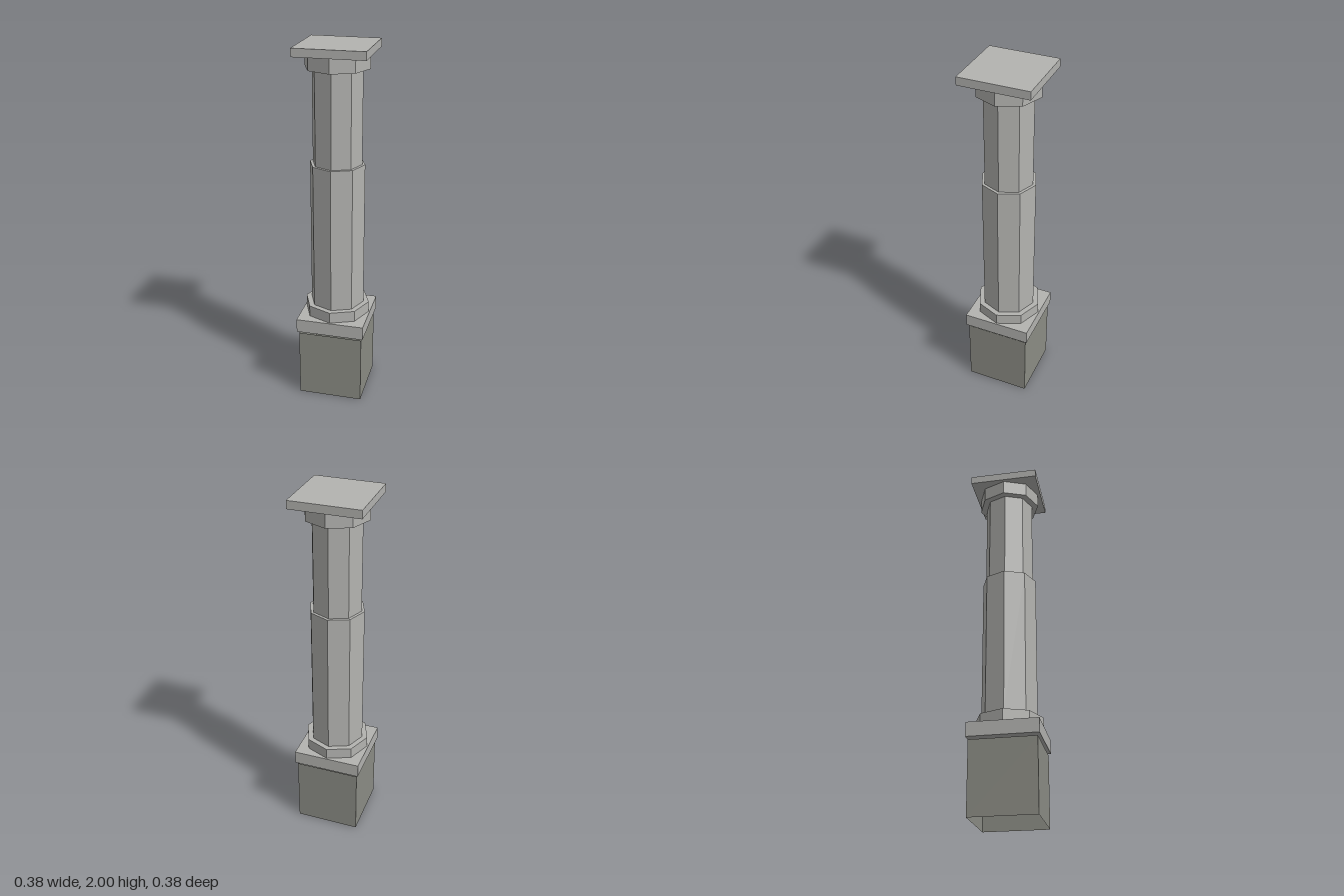
import * as THREE from 'three';

export function createModel() {
  const model = new THREE.Group();

  const paleStone = new THREE.MeshStandardMaterial({ color: 0xb3b3b0, flatShading: true });
  paleStone.name = 'paleStone';
  const darkStone = new THREE.MeshStandardMaterial({ color: 0x8c8d85, flatShading: true, side: THREE.DoubleSide });
  darkStone.name = 'darkStone';

  function add(name, geometry, material, bottom, top) {
    const mesh = new THREE.Mesh(geometry, material);
    mesh.name = name;
    mesh.position.y = (bottom + top) / 2;
    model.add(mesh);
    return mesh;
  }

  // Square slab, width 2 * half
  const slab = (name, half, bottom, top) =>
    add(name, new THREE.BoxGeometry(2 * half, top - bottom, 2 * half), paleStone, bottom, top);

  // Octagonal drum with corners on the x and z axes
  const drum = (name, radius, bottom, top) =>
    add(name, new THREE.CylinderGeometry(radius, radius, top - bottom, 8), paleStone, bottom, top);

  // Pedestal: four walls, open at the ends, with a small gap under the plinth
  const walls = new THREE.CylinderGeometry(0.179 * Math.SQRT2, 0.179 * Math.SQRT2, 0.393, 4, 1, true);
  walls.rotateY(Math.PI / 4);
  add('pedestal', walls, darkStone, 0, 0.393);

  slab('plinth', 0.19, 0.406, 0.483);
  drum('baseRing', 0.183, 0.483, 0.546);
  drum('lowerShaft', 0.152, 0.546, 1.367);
  drum('upperShaft', 0.136, 1.367, 1.877);
  drum('capital', 0.173, 1.877, 1.956);
  slab('topSlab', 0.19, 1.956, 2);

  return model;
}
